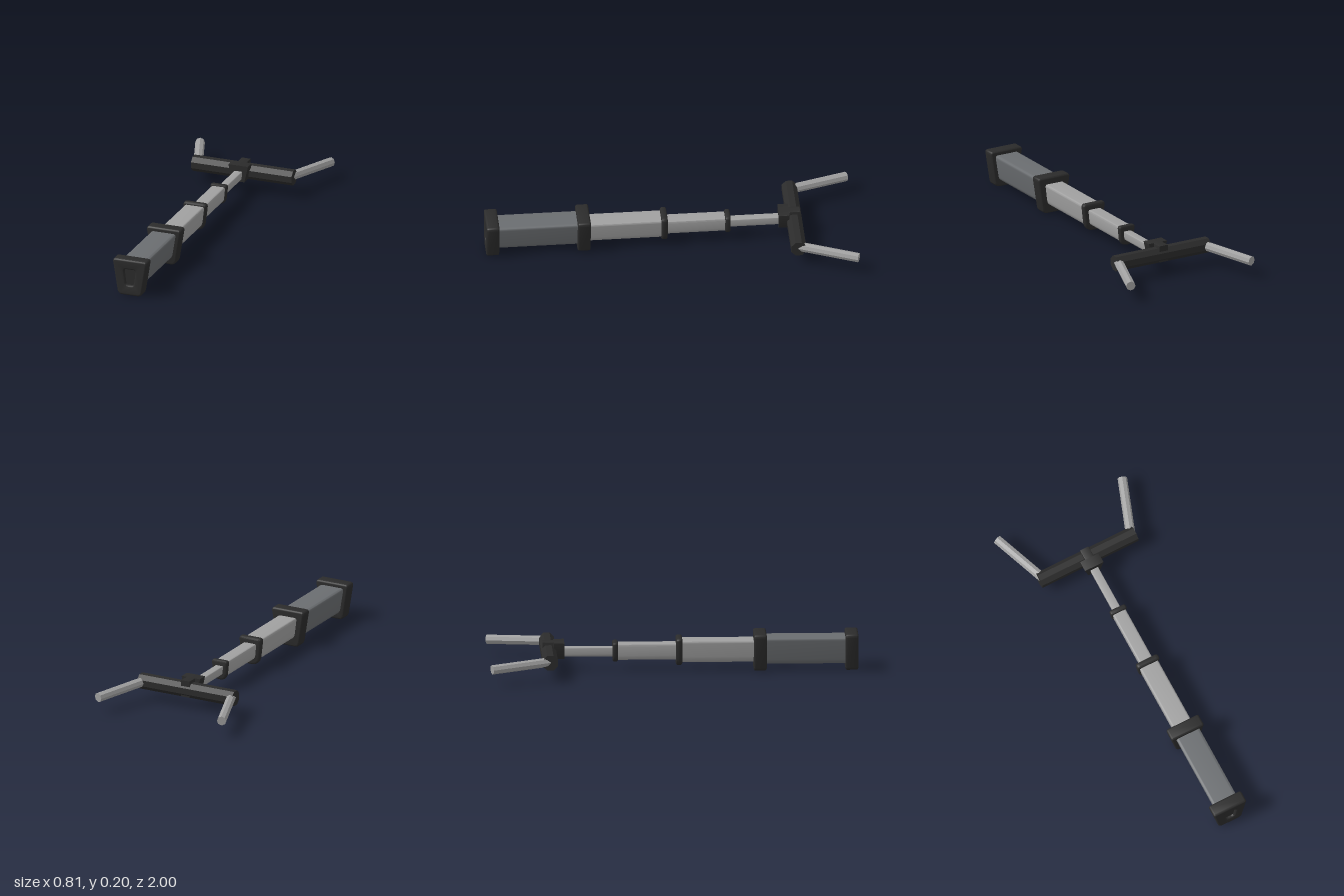
import * as THREE from 'three';
import { toCreasedNormals } from 'three/addons/utils/BufferGeometryUtils.js';

const black = new THREE.MeshStandardMaterial({ color: 0x2b2b2b });
const slate = new THREE.MeshStandardMaterial({ color: 0x6a6d70 });
const steel = new THREE.MeshStandardMaterial({ color: 0xa0a0a0 });
const blackFlat = new THREE.MeshStandardMaterial({ color: 0x2b2b2b, flatShading: true });
const steelFlat = new THREE.MeshStandardMaterial({ color: 0xa0a0a0, flatShading: true });

// Tapered section: wide top, narrower bottom, rounded corners
function taper(target, top, bottom, y0, y1, rTop, rBottom = rTop) {
  const corners = [[-bottom, y0, rBottom], [bottom, y0, rBottom], [top, y1, rTop], [-top, y1, rTop]];
  corners.forEach(([x, y, r], i) => {
    const p = new THREE.Vector2(x, y);
    const toward = (c) => new THREE.Vector2(c[0], c[1]).sub(p).setLength(r).add(p);
    const a = toward(corners[(i + 3) % 4]);
    const b = toward(corners[(i + 1) % 4]);
    if (i === 0) target.moveTo(a.x, a.y);
    else target.lineTo(a.x, a.y);
    target.quadraticCurveTo(x, y, b.x, b.y);
  });
  target.closePath();
  return target;
}

// Extrudes a section from z0 to z1, with rounded end edges when bevel > 0
function slide(name, shape, z0, z1, bevel, material) {
  const geometry = new THREE.ExtrudeGeometry(shape, {
    depth: z1 - z0 - 2 * bevel,
    bevelEnabled: bevel > 0,
    bevelThickness: bevel,
    bevelSize: bevel,
    bevelOffset: -bevel,
    bevelSegments: 3,
    curveSegments: 6,
  });
  geometry.translate(0, 0, z0 + bevel);
  const mesh = new THREE.Mesh(toCreasedNormals(geometry, 0.6), material);
  mesh.name = name;
  return mesh;
}

// Faceted rod between two points
function rod(name, from, to, radius, sides, material) {
  const axis = to.clone().sub(from);
  const geometry = new THREE.CylinderGeometry(radius, radius, axis.length(), sides);
  geometry.rotateY(Math.PI / sides);
  const mesh = new THREE.Mesh(geometry, material);
  mesh.name = name;
  mesh.position.copy(from).add(to).multiplyScalar(0.5);
  mesh.quaternion.setFromUnitVectors(new THREE.Vector3(0, 1, 0), axis.normalize());
  return mesh;
}

const section = (...args) => taper(new THREE.Shape(), ...args);

export function createModel() {
  const group = new THREE.Group();

  // End cap with a recessed panel
  const capShape = section(0.101, 0.068, 0.003, 0.208, 0.02, 0.026);
  capShape.holes.push(taper(new THREE.Path(), 0.034, 0.022, 0.062, 0.152, 0.014));
  group.add(slide('endCap', capShape, 0.93, 1, 0.01, black));
  group.add(slide('endCapPanel', section(0.05, 0.04, 0.045, 0.17, 0.015), 0.94, 0.986, 0, black));

  // Outer sleeve and its collar
  group.add(slide('outerSleeve', section(0.073, 0.048, 0.035, 0.185, 0.018, 0.03), 0.46, 0.94, 0, slate));
  group.add(slide('sleeveCollar', section(0.101, 0.068, 0.003, 0.208, 0.02, 0.026), 0.435, 0.505, 0.01, black));

  // Telescoping tubes, each shorter in section than the last, with end rings
  group.add(slide('largeTube', section(0.057, 0.042, 0.045, 0.17, 0.014, 0.036), 0.03, 0.45, 0, steel));
  group.add(slide('largeRing', section(0.07, 0.052, 0.03, 0.185, 0.022, 0.046), 0.015, 0.05, 0.012, black));
  group.add(slide('middleTube', section(0.04, 0.031, 0.06, 0.152, 0.012, 0.027), -0.31, 0.03, 0, steel));
  group.add(slide('middleRing', section(0.05, 0.038, 0.051, 0.162, 0.018, 0.034), -0.327, -0.297, 0.01, black));
  group.add(slide('smallTube', section(0.024, 0.019, 0.079, 0.132, 0.008, 0.016), -0.6, -0.31, 0, steel));

  // Joint block and the strap over the crossbar
  group.add(slide('jointBlock', section(0.057, 0.036, 0.072, 0.165, 0.003), -0.645, -0.588, 0, black));
  group.add(slide('jointStrap', section(0.026, 0.026, 0.072, 0.165, 0.003), -0.705, -0.64, 0, black));

  // Crossbar and angled handles
  group.add(rod('crossbar', new THREE.Vector3(-0.292, 0.107, -0.673), new THREE.Vector3(0.292, 0.107, -0.673), 0.044, 8, blackFlat));
  for (const side of [1, -1]) {
    group.add(rod(
      side > 0 ? 'leftHandle' : 'rightHandle',
      new THREE.Vector3(side * 0.265, 0.109, -0.67),
      new THREE.Vector3(side * 0.381, 0.093, -0.991),
      0.026, 8, steelFlat,
    ));
  }
  return group;
}
